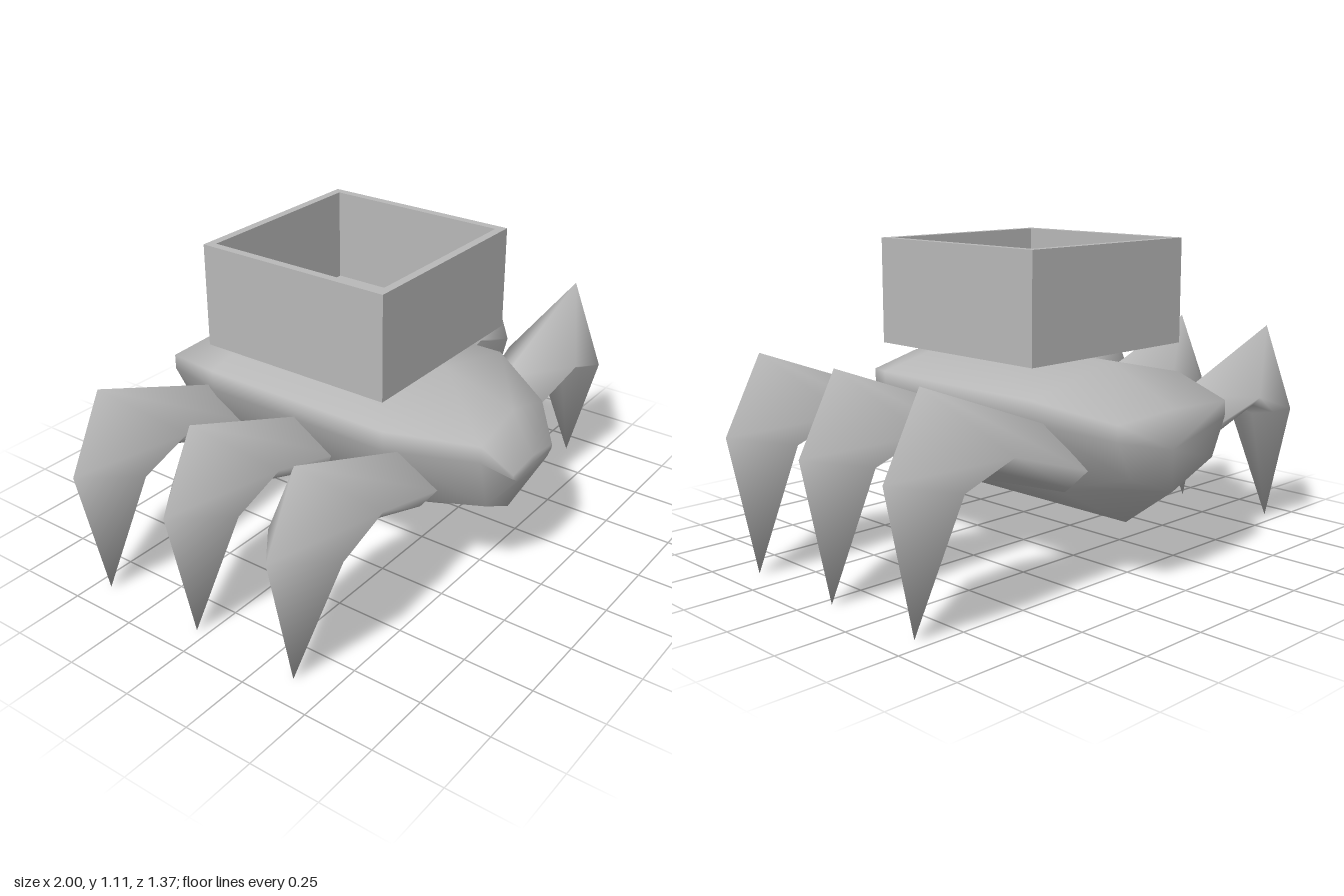
import * as THREE from 'three';

// Smooth skin over rings of points, closed by a fan to an end point at each end
function loft(rings, startPoint, endPoint) {
  const n = rings[0].length;
  const pos = [...rings.flat(2), ...startPoint, ...endPoint];
  const start = rings.length * n, end = start + 1, index = [];
  for (let i = 0; i < rings.length; i++) {
    for (let j = 0; j < n; j++) {
      const k = (j + 1) % n;
      const a = i * n + j, b = i * n + k;
      if (i === 0) index.push(start, b, a);
      if (i === rings.length - 1) index.push(end, a, b);
      else index.push(a, b, b + n, a, b + n, a + n);
    }
  }
  const g = new THREE.BufferGeometry();
  g.setAttribute('position', new THREE.Float32BufferAttribute(pos, 3));
  g.setIndex(index);
  g.computeVertexNormals();
  return g;
}

// Body section: keel, lower side, flank, shoulder, ridge and the mirrored side
function bodyRing(z, keelZ, keelY, [lx, ly], [fx, fy], [sx, sy], ridgeY) {
  return [
    [0, keelY, keelZ], [lx, ly, z], [fx, fy, z], [sx, sy, z],
    [0, ridgeY, z], [-sx, sy, z], [-fx, fy, z], [-lx, ly, z],
  ];
}

// Leg section: upper edge, widest side, lower side, under edge (x, y and half width)
function legRing([tx, ty], [sx, sy, sz], [lx, ly, lz], [bx, by]) {
  return [
    [tx, ty, 0], [sx, sy, sz], [lx, ly, lz],
    [bx, by, 0], [lx, ly, -lz], [sx, sy, -sz],
  ];
}

export function createModel() {
  const model = new THREE.Group();
  const grey = new THREE.MeshStandardMaterial({ color: 0xb8b8b8, side: THREE.DoubleSide });
  grey.name = 'grey';
  const add = (parent, name, geometry) => {
    const mesh = new THREE.Mesh(geometry, grey);
    mesh.name = name;
    parent.add(mesh);
    return mesh;
  };

  // Body, from the flat rear to the tapered nose
  add(model, 'body', loft([
    bodyRing(-0.685, -0.685, 0.32, [0.21, 0.4], [0.275, 0.53], [0.275, 0.585], 0.595),
    bodyRing(-0.41, -0.49, 0.175, [0.27, 0.33], [0.365, 0.56], [0.37, 0.635], 0.72),
    bodyRing(0.33, 0.33, 0.175, [0.27, 0.33], [0.365, 0.56], [0.37, 0.635], 0.72),
    bodyRing(0.6, 0.6, 0.265, [0.15, 0.34], [0.2, 0.53], [0.2, 0.59], 0.64),
    bodyRing(0.685, 0.685, 0.435, [0.1, 0.445], [0.13, 0.465], [0.13, 0.48], 0.495),
  ], [0, 0.46, -0.685], [0, 0.465, 0.685]));

  // Three bent, pointed legs on each side
  const legGeometry = loft([
    legRing([0.34, 0.56], [0.265, 0.415, 0.11], [0.305, 0.36, 0.07], [0.255, 0.322]),
    legRing([0.86, 0.755], [0.62, 0.53, 0.145], [0.66, 0.487, 0.085], [0.705, 0.465]),
    legRing([1, 0.49], [0.82, 0.46, 0.145], [0.8, 0.44, 0.085], [0.785, 0.425]),
  ], [0.31, 0.44, 0], [0.895, 0, 0]);
  ['front', 'middle', 'rear'].forEach((place, i) => {
    const z = [0.37, -0.04, -0.445][i];
    for (const side of [1, -1]) {
      const leg = add(model, place + (side > 0 ? 'LeftLeg' : 'RightLeg'), legGeometry);
      leg.position.z = z;
      leg.rotation.y = side > 0 ? 0 : Math.PI;
    }
  });

  // Open box above the back
  const box = new THREE.Group();
  box.name = 'cargoBox';
  box.position.set(0, 0.74, -0.04);
  const rect = (S, x, y) => new S([[-x, -y], [x, -y], [x, y], [-x, y]].map(p => new THREE.Vector2(...p)));
  const outline = rect(THREE.Shape, 0.37, 0.37);
  outline.holes.push(rect(THREE.Path, 0.34, 0.34));
  const walls = new THREE.ExtrudeGeometry(outline, { depth: 0.37, bevelEnabled: false });
  add(box, 'boxWalls', walls.rotateX(-Math.PI / 2));
  add(box, 'boxFloor', new THREE.BoxGeometry(0.68, 0.035, 0.68).translate(0, 0.0175, 0));
  model.add(box);
  return model;
}
